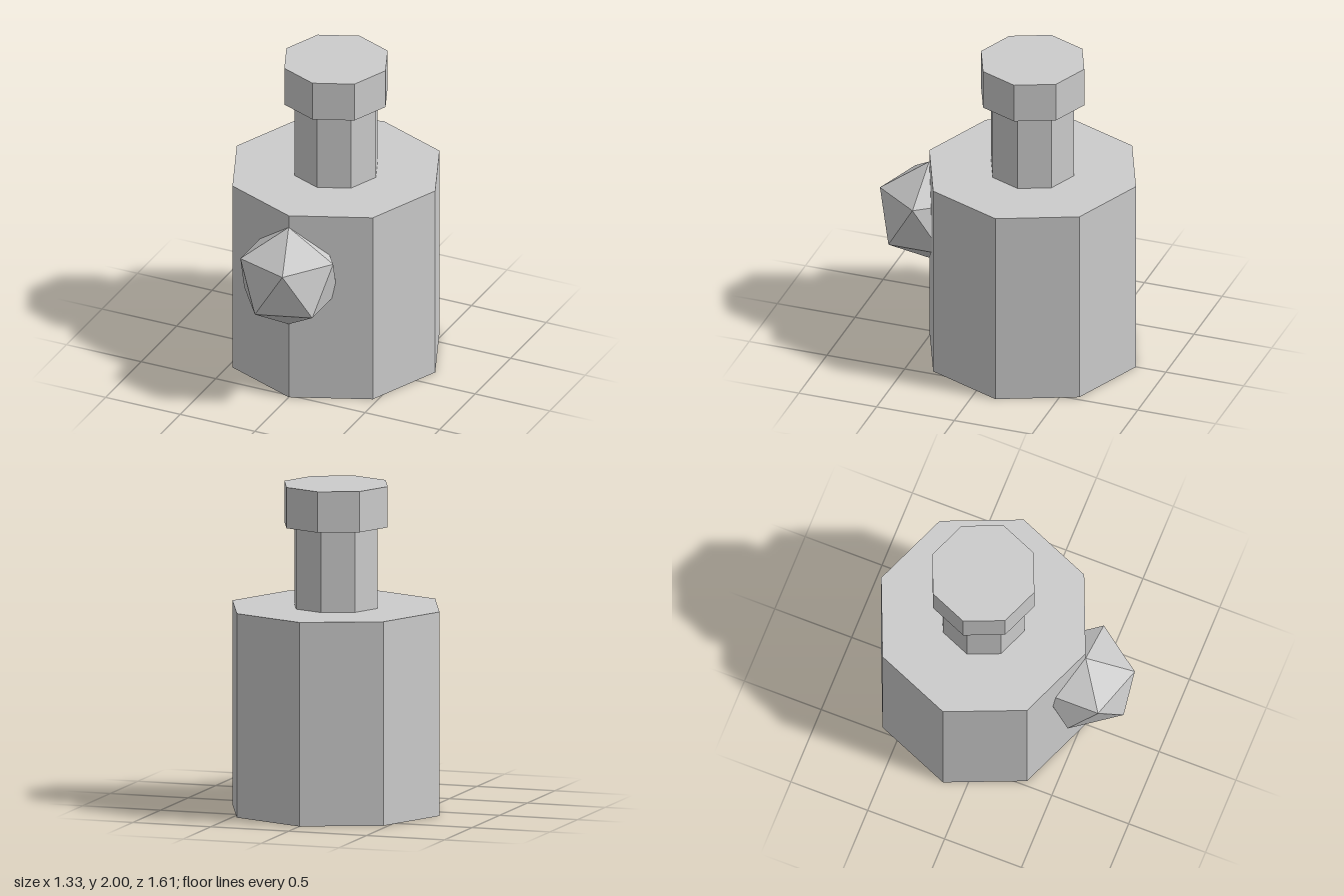
import * as THREE from 'three';

export function createModel() {
  const model = new THREE.Group();
  model.name = 'bottle';
  const grey = new THREE.MeshStandardMaterial({ color: 0xcccccc, flatShading: true });
  grey.name = 'grey';

  const add = (name, geometry, x, y, z) => {
    const mesh = new THREE.Mesh(geometry, grey);
    mesh.name = name;
    mesh.position.set(x, y, z);
    model.add(mesh);
  };

  // Stacked octagonal prisms: name, radius, bottom, top
  const axisZ = -0.143;
  const prisms = [
    ['body', 0.665, 0, 1.25],
    ['neck', 0.267, 1.25, 1.75],
    ['cap', 0.332, 1.75, 2],
  ];
  for (const [name, radius, bottom, top] of prisms) {
    add(name, new THREE.CylinderGeometry(radius, radius, top - bottom, 8), 0, (bottom + top) / 2, axisZ);
  }

  // Faceted gem on the front edge, tipped so that one corner points straight up
  const gem = new THREE.IcosahedronGeometry(0.333, 0);
  gem.rotateZ(-Math.atan(2 / (1 + Math.sqrt(5))));
  add('frontGem', gem, 0, 0.837, 0.523);

  return model;
}
